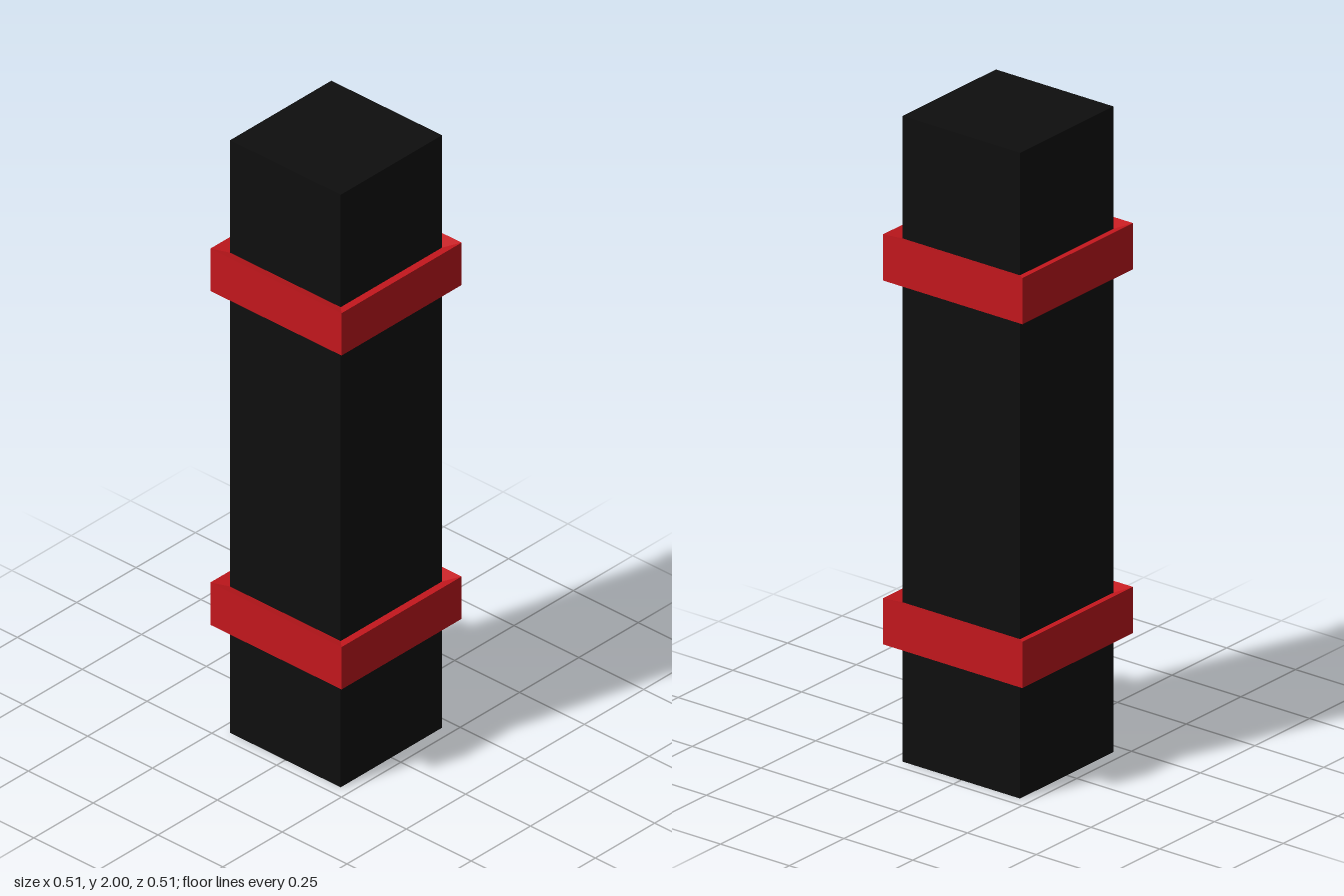
import * as THREE from 'three';

const POST = 0.427;        // post width
const BAND = 0.253;        // half-width of a band
const HEIGHT = 0.143;      // band height
const DROP = 0.016;        // how far the band's top slopes down to the post

export function createModel() {
  const model = new THREE.Group();
  const black = new THREE.MeshStandardMaterial({ color: 0x0e0e0e, flatShading: true });
  const red = new THREE.MeshStandardMaterial({ color: 0xc4171d, flatShading: true });

  // square post
  const post = new THREE.Mesh(new THREE.BoxGeometry(POST, 2, POST), black);
  post.name = 'post';
  post.position.y = 1;
  model.add(post);

  // square collars: a four-sided lathe with a top that slopes inward
  const inner = POST / 2 - 0.002;
  const profile = [
    [inner, 0], [BAND, 0], [BAND, HEIGHT], [inner, HEIGHT - DROP],
  ].map(([r, y]) => new THREE.Vector2(r * Math.SQRT2, y));
  const collar = new THREE.LatheGeometry(profile, 4, Math.PI / 4);

  for (const [name, y] of [['lowerBand', 0.366], ['upperBand', 1.493]]) {
    const band = new THREE.Mesh(collar, red);
    band.name = name;
    band.position.y = y;
    model.add(band);
  }
  return model;
}
